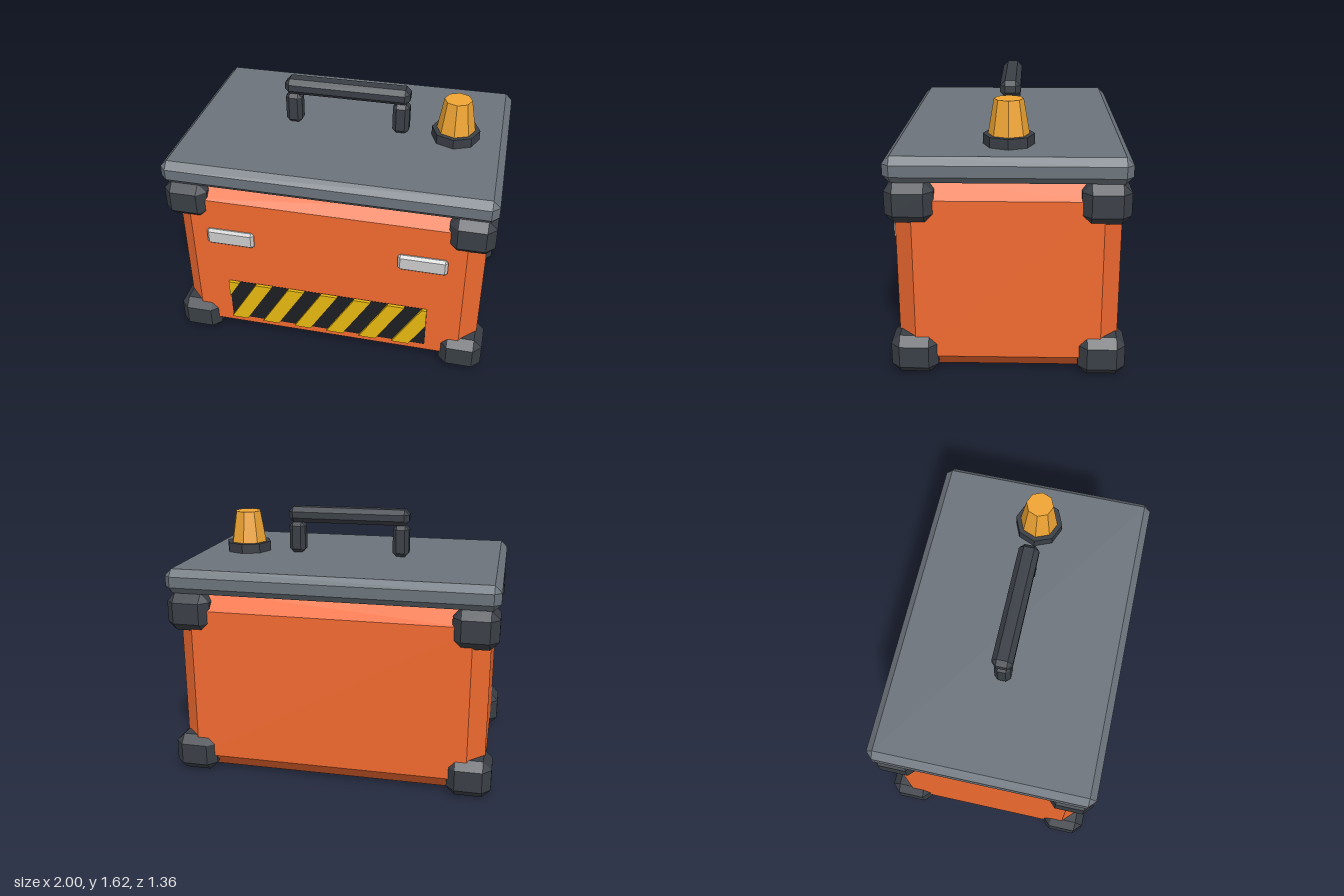
import * as THREE from 'three';
import { ConvexGeometry } from 'three/addons/geometries/ConvexGeometry.js';

const paint = (color) => new THREE.MeshStandardMaterial({ color, flatShading: true });

// Box with every edge cut by a flat chamfer c, given as [min, max] ranges
function chamferBox([x0, x1], [y0, y1], [z0, z1], c) {
  const h = [(x1 - x0) / 2, (y1 - y0) / 2, (z1 - z0) / 2];
  const points = [];
  for (const sx of [-1, 1]) for (const sy of [-1, 1]) for (const sz of [-1, 1])
    for (let axis = 0; axis < 3; axis++) {
      const [x, y, z] = h.map((v, i) => (i === axis ? v : v - c));
      points.push(new THREE.Vector3(sx * x, sy * y, sz * z));
    }
  return new ConvexGeometry(points).translate((x0 + x1) / 2, (y0 + y1) / 2, (z0 + z1) / 2);
}

// Cut a convex outline at x = limit, keeping the side where sign * (limit - x) >= 0
function clipX(points, limit, sign) {
  const out = [];
  points.forEach((a, i) => {
    const b = points[(i + 1) % points.length];
    const da = sign * (limit - a.x), db = sign * (limit - b.x);
    if (da >= 0) out.push(a);
    if (da * db < 0) out.push(a.clone().lerp(b, da / (da - db)));
  });
  return out;
}

export function createModel() {
  const model = new THREE.Group();
  const orange = paint(0xf26a30), slate = paint(0x6b737b), dark = paint(0x3a3f46);
  const black = paint(0x1c1e22), yellow = paint(0xe8b810), amber = paint(0xf0a533);
  const silver = paint(0xd8d8d4);

  const add = (name, geometry, material, parent = model) => {
    const mesh = new THREE.Mesh(geometry, material);
    mesh.name = name;
    parent.add(mesh);
    return mesh;
  };
  const group = (name) => {
    const g = new THREE.Group();
    g.name = name;
    model.add(g);
    return g;
  };

  // Case and lid
  add('body', chamferBox([-0.955, 0.955], [0, 1.17], [-0.64, 0.64], 0.105), orange);
  add('lid', chamferBox([-1, 1], [1.17, 1.32], [-0.68, 0.68], 0.042), slate);

  // Corner guards, four below and four under the lid
  const guards = group('cornerGuards');
  for (const y of [0.1175, 1.0525]) for (const x of [-0.866, 0.866]) for (const z of [-0.543, 0.543]) {
    const guard = add('cornerGuard',
      chamferBox([-0.134, 0.134], [-0.1175, 0.1175], [-0.137, 0.137], 0.052), dark, guards);
    guard.position.set(x, y, z);
  }

  // Carrying handle
  const handle = group('handle');
  add('handleBar', chamferBox([-0.392, 0.392], [1.52, 1.62], [-0.062, 0.062], 0.03), dark, handle);
  for (const x of [-0.34, 0.34])
    add('handlePost', chamferBox([x - 0.052, x + 0.052], [1.32, 1.52], [-0.05, 0.05], 0.025), dark, handle);

  // Warning beacon
  const beacon = group('beacon');
  beacon.position.set(0.68, 1.32, 0);
  add('beaconBase', new THREE.CylinderGeometry(0.148, 0.148, 0.06, 8).translate(0, 0.03, 0), dark, beacon);
  add('beaconLamp', new THREE.CylinderGeometry(0.084, 0.118, 0.2, 8).translate(0, 0.16, 0), amber, beacon);

  // Front latches
  for (const x of [-0.598, 0.595])
    add('latch', chamferBox([x - 0.15, x + 0.15], [0.755, 0.865], [0.63, 0.67], 0.016), silver);

  // Hazard panel with slanted stripes trimmed to its width
  const hazard = group('hazardPanel');
  add('panel', new THREE.BoxGeometry(1.28, 0.3, 0.02).translate(0, 0.3, 0.632), black, hazard);
  for (let i = -1; i <= 5; i++) {
    const x = -0.64 + i * 0.214;
    let outline = [[x, 0.15], [x + 0.107, 0.15], [x + 0.287, 0.45], [x + 0.18, 0.45]]
      .map(([px, py]) => new THREE.Vector2(px, py));
    outline = clipX(clipX(outline, 0.64, 1), -0.64, -1);
    const stripe = new THREE.ExtrudeGeometry(new THREE.Shape(outline), { depth: 0.022, bevelEnabled: false });
    add('stripe', stripe.translate(0, 0, 0.638), yellow, hazard);
  }

  return model;
}
